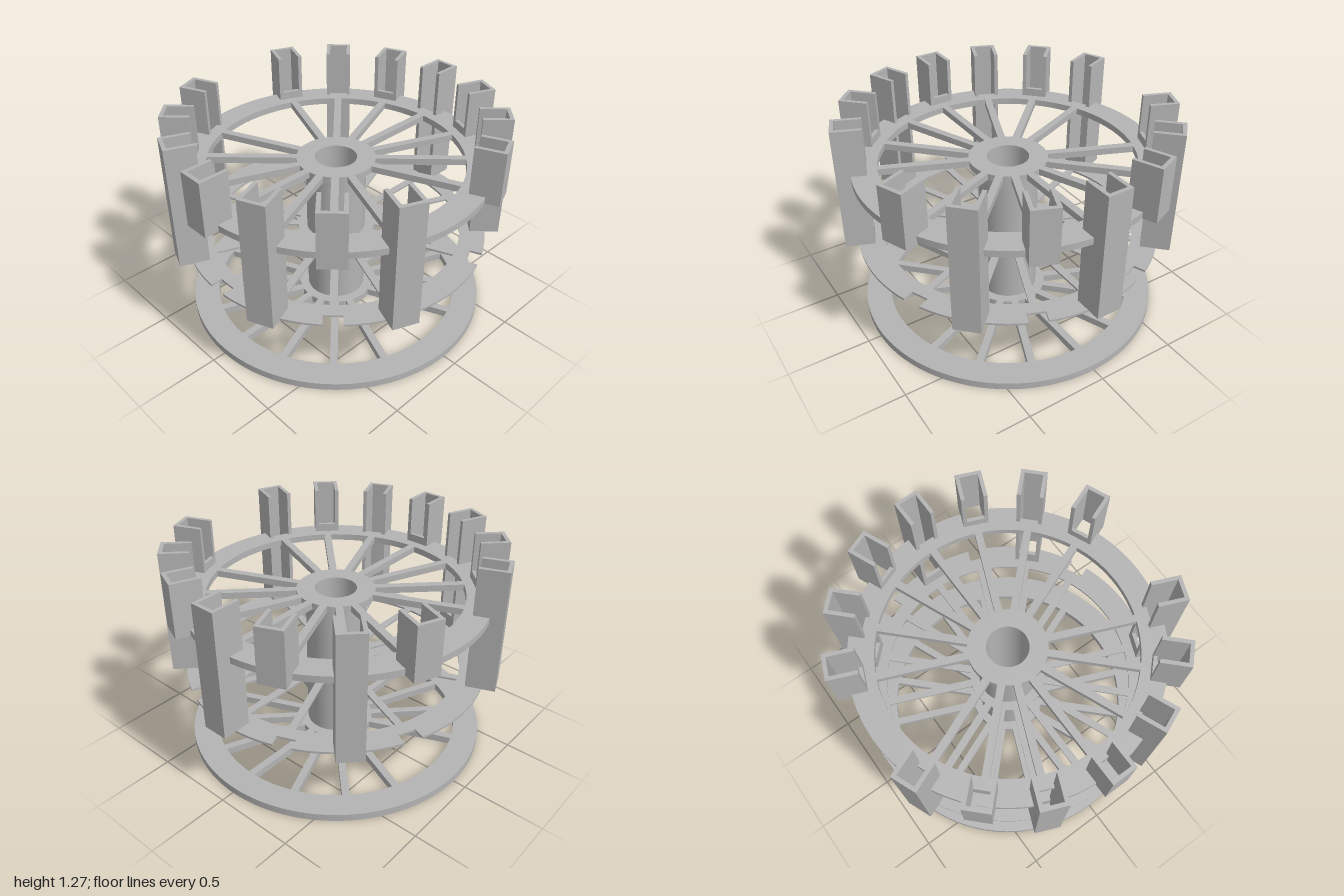
import * as THREE from 'three';

const HUB = 0.235, BORE = 0.125, RIM_IN = 0.765, RIM_OUT = 0.92;
const BOX_IN = 0.824, BOX_OUT = 1.0, BOX_W = 0.156, WALL = 0.023, SILL = 0.09;

// Sixteen even stations, leaving the front and back ones empty
const stations = [];
for (let i = 0; i < 16; i++) if (i % 8 !== 4) stations.push(i * Math.PI / 8);
const nextAngle = (i) => i + 1 < stations.length ? stations[i + 1] : Math.PI * 2;

function arc(points, r, from, to) {
  const n = Math.max(2, Math.ceil(Math.abs(to - from) / 0.04));
  for (let i = 0; i <= n; i++) {
    const a = from + (to - from) * i / n;
    points.push(new THREE.Vector2(r * Math.cos(a), r * Math.sin(a)));
  }
}

// Spoked wheel, optionally with rim notches below each chute
function wheelGeometry(thickness, notched) {
  const outline = [];
  const half = BOX_W / 2 - WALL;
  if (notched) {
    const cut = Math.asin(half / RIM_OUT);
    stations.forEach((a, i) => {
      for (const s of [-1, 1]) {
        outline.push(new THREE.Vector2(BOX_IN + WALL, s * half).rotateAround(new THREE.Vector2(), a));
      }
      arc(outline, RIM_OUT, a + cut, nextAngle(i) - cut);
    });
  } else {
    arc(outline, RIM_OUT, 0, Math.PI * 2);
    outline.pop();
  }
  const shape = new THREE.Shape(outline);

  // Openings between the spokes
  const spokeHalf = 0.0225;
  const inner = Math.asin(spokeHalf / HUB), outer = Math.asin(spokeHalf / RIM_IN);
  stations.forEach((a, i) => {
    const b = nextAngle(i), gap = [];
    arc(gap, RIM_IN, a + outer, b - outer);
    arc(gap, HUB, b - inner, a + inner);
    shape.holes.push(new THREE.Path(gap));
  });
  const bore = [];
  arc(bore, BORE, 0, Math.PI * 2);
  bore.pop();
  shape.holes.push(new THREE.Path(bore));

  const geometry = new THREE.ExtrudeGeometry(shape, { depth: thickness, bevelEnabled: false });
  return geometry.rotateX(-Math.PI / 2);
}

export function createModel() {
  const model = new THREE.Group();
  model.name = 'tieredCarousel';
  const grey = new THREE.MeshStandardMaterial({ color: 0xb4b4b4 });
  grey.name = 'plain grey';
  const greyInside = grey.clone();
  greyInside.side = THREE.BackSide;

  const add = (parent, name, geometry, x = 0, y = 0, z = 0, material = grey) => {
    const mesh = new THREE.Mesh(geometry, material);
    mesh.name = name;
    mesh.position.set(x, y, z);
    parent.add(mesh);
    return mesh;
  };

  // Three wheels
  add(model, 'baseWheel', wheelGeometry(0.045, false), 0, 0, 0);
  add(model, 'middleWheel', wheelGeometry(0.013, true), 0, 0.486, 0);
  add(model, 'topWheel', wheelGeometry(0.04, true), 0, 0.94, 0);

  // Hollow central column
  const columnHeight = 0.9, columnY = 0.493;
  add(model, 'columnOutside', new THREE.CylinderGeometry(0.18, 0.18, columnHeight, 64, 1, true), 0, columnY, 0);
  add(model, 'columnBore', new THREE.CylinderGeometry(BORE, BORE, columnHeight, 64, 1, true), 0, columnY, 0, greyInside);

  // Alternating tall and short chutes, open inward above a low sill
  stations.forEach((a, i) => {
    const tall = i % 2 === 0;
    const bottom = tall ? 0.498 : 0.94, height = 1.27 - bottom;
    const depth = BOX_OUT - BOX_IN, midY = bottom + height / 2;
    const chute = new THREE.Group();
    chute.name = tall ? 'tallChute' : 'shortChute';
    chute.rotation.y = -a;
    add(chute, 'outerWall', new THREE.BoxGeometry(WALL, height, BOX_W - 2 * WALL), BOX_OUT - WALL / 2, midY, 0);
    for (const s of [-1, 1]) {
      add(chute, 'sideWall', new THREE.BoxGeometry(depth, height, WALL), BOX_IN + depth / 2, midY, s * (BOX_W - WALL) / 2);
    }
    add(chute, 'sill', new THREE.BoxGeometry(WALL, SILL, BOX_W - 2 * WALL), BOX_IN + WALL / 2, bottom + SILL / 2, 0);
    model.add(chute);
  });

  return model;
}
